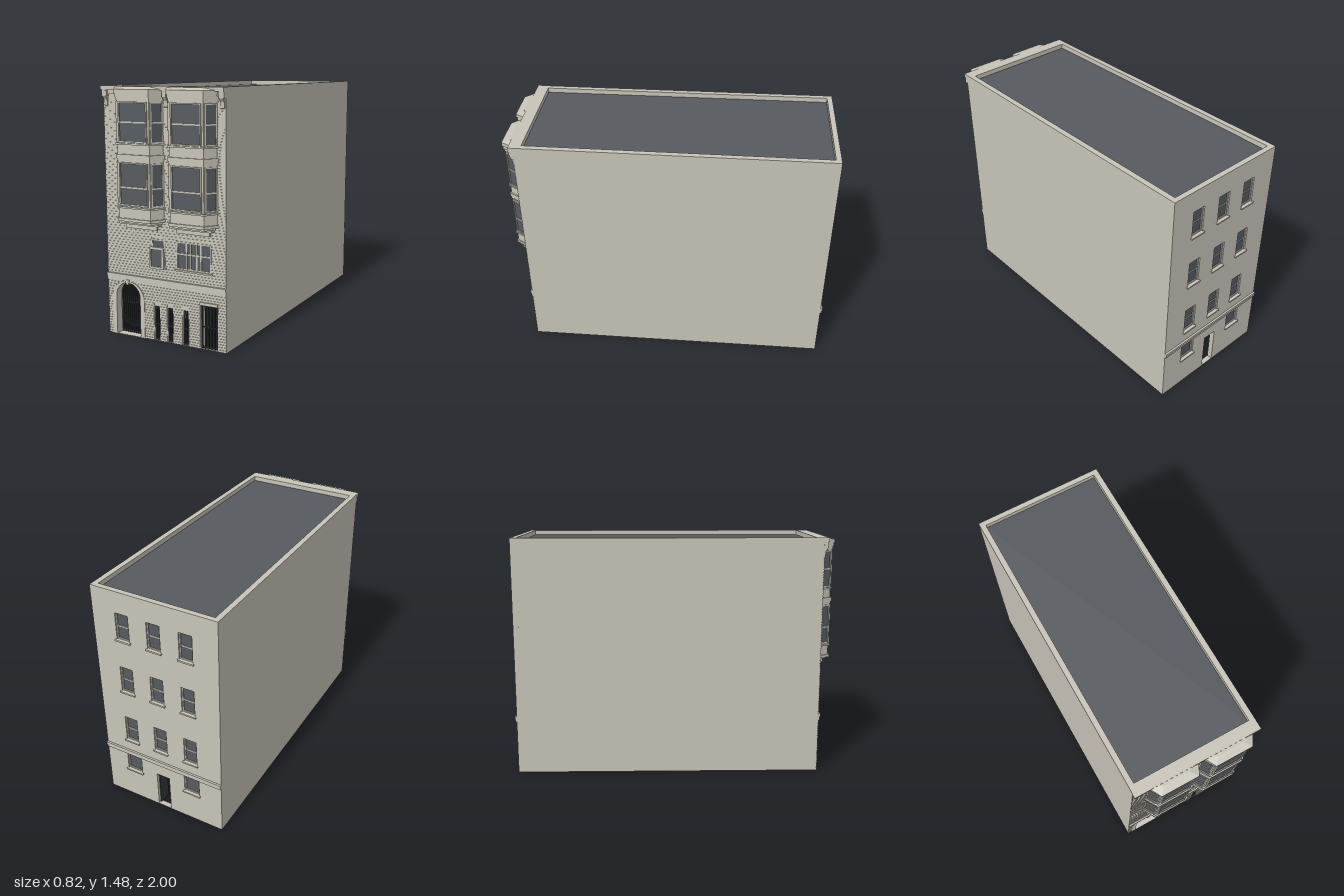
import * as THREE from 'three';
import { mergeGeometries } from 'three/addons/utils/BufferGeometryUtils.js';

const mat = (name, color) => Object.assign(new THREE.MeshStandardMaterial({ color }), { name });
const stone = mat('stone', 0xc8c4b8);
const glass = mat('glass', 0x565b60);
const roofing = mat('roofing', 0x565a5e);
const iron = mat('iron', 0x34383b);

// Box given by its limits
function block(x0, x1, y0, y1, z0, z1) {
  const g = new THREE.BoxGeometry(x1 - x0, y1 - y0, z1 - z0);
  return g.translate((x0 + x1) / 2, (y0 + y1) / 2, (z0 + z1) / 2);
}
function part(parent, name, material, ...geometries) {
  const plain = geometries.map(g => (g.index ? g.toNonIndexed() : g));
  const mesh = new THREE.Mesh(plain.length > 1 ? mergeGeometries(plain) : plain[0], material);
  mesh.name = name;
  parent.add(mesh);
  return mesh;
}
function group(parent, name, x = 0, y = 0, z = 0, turn = 0) {
  const g = new THREE.Group();
  g.name = name;
  g.position.set(x, y, z);
  g.rotation.y = turn;
  parent.add(g);
  return g;
}
const poly = pts => new THREE.Shape(pts.map(p => new THREE.Vector2(...p)));
const rect = (x0, x1, y0, y1) => poly([[x0, y0], [x1, y0], [x1, y1], [x0, y1]]);
const extrude = (shape, depth, z = 0) =>
  new THREE.ExtrudeGeometry(shape, { depth, bevelEnabled: false, curveSegments: 14 }).translate(0, 0, z);
// Upright prism over an [x, z] footprint
const prism = (pts, y0, y1) =>
  extrude(poly(pts.map(([x, z]) => [x, -z])), y1 - y0).rotateX(-Math.PI / 2).translate(0, y0, 0);

function archShape(cx, r, spring, y0) {
  const s = new THREE.Shape();
  s.moveTo(cx - r, y0);
  s.lineTo(cx + r, y0);
  s.lineTo(cx + r, spring);
  s.absarc(cx, spring, r, 0, Math.PI, false);
  s.closePath();
  return s;
}

// Window facing +z with its bottom middle at the origin
function sash(parent, w, h, { rail = 0.5, frame = 0.008, depth = 0.008, mullions = [], sill = 0.012 } = {}) {
  const a = w / 2;
  part(parent, 'windowGlass', glass, block(-a, a, 0, h, -0.004, 0.002));
  const bars = [
    block(-a - frame, -a, -frame, h + frame, -0.004, depth), block(a, a + frame, -frame, h + frame, -0.004, depth),
    block(-a, a, h, h + frame, -0.004, depth), block(-a, a, -frame, 0, -0.004, depth),
    ...mullions.map(x => block(x - 0.004, x + 0.004, 0, h, 0, 0.005)),
  ];
  if (rail) bars.push(block(-a, a, h * rail - 0.004, h * rail + 0.004, 0, 0.006));
  if (sill) bars.push(block(-a - 0.016, a + 0.016, -frame - 0.01, -frame, -0.004, depth + sill));
  part(parent, 'windowFrame', stone, ...bars);
}

// Iron bars between two x limits
function grille(parent, name, x0, x1, y0, y1, z, count, rungs, width = 0.006) {
  const bars = [];
  for (let i = 0; i < count; i++) {
    const x = x0 + width / 2 + (x1 - x0 - width) * i / (count - 1);
    bars.push(block(x - width / 2, x + width / 2, y0, y1, z - 0.005, z + 0.005));
  }
  for (const y of rungs) bars.push(block(x0, x1, y - 0.003, y + 0.003, z - 0.004, z + 0.004));
  part(parent, name, iron, ...bars);
}

const FRONT = 0.91, BACK = -0.988, TOP = 1.48;
const ARCH = -0.254;
const slits = [-0.053, 0.037, 0.141];

function frontWall(root) {
  const g = group(root, 'frontWall');
  const wall = rect(-0.398, 0.405, 0, TOP);
  wall.holes.push(archShape(ARCH, 0.084, 0.24, 0.003), rect(0.24, 0.35, 0.003, 0.26));
  for (const x of slits) wall.holes.push(rect(x - 0.018, x + 0.018, 0.003, 0.21));
  part(g, 'frontWallShell', stone, extrude(wall, 0.045, FRONT - 0.045));

  // Horizontal siding, broken at the openings
  const gaps = y => {
    const list = [];
    const add = (x0, x1, y0, y1) => { if (y + 0.012 > y0 && y < y1) list.push([x0, x1]); };
    const outer = y < 0.22 ? 0.115 : Math.sqrt(Math.max(0, 0.115 ** 2 - (y - 0.22) ** 2));
    add(ARCH - outer, ARCH + outer, 0, 0.335);
    for (const x of slits) add(x - 0.022, x + 0.022, 0, 0.214);
    add(0.236, 0.354, 0, 0.277);
    add(-0.083, 0.008, 0.44, 0.61);
    add(0.084, 0.311, 0.44, 0.613);
    return list.sort((p, q) => p[0] - q[0]);
  };
  const boards = [];
  for (let y = 0.002; y < 1.43; y += 0.0163) {
    let x = -0.398;
    for (const [a, b] of [...gaps(y), [0.405, 0.405]]) {
      if (a - x > 0.002) boards.push(block(x, a, y, y + 0.0125, FRONT, FRONT + 0.004));
      x = Math.max(x, b);
    }
  }
  part(g, 'siding', stone, ...boards);

  // Arched entrance
  const surround = archShape(ARCH, 0.115, 0.22, 0);
  surround.holes.push(archShape(ARCH, 0.084, 0.24, 0.003));
  part(g, 'archSurround', stone, extrude(surround, 0.006, FRONT));
  part(g, 'keystone', stone, extrude(poly([[ARCH - 0.009, 0.315], [ARCH + 0.009, 0.315],
    [ARCH + 0.014, 0.345], [ARCH - 0.014, 0.345]]), 0.014, FRONT));
  grille(g, 'archGate', ARCH - 0.084, ARCH + 0.084, 0, 0.33, 0.858, 12, [0.01], 0.0075);

  // Slit openings and side gate
  for (const x of slits) grille(g, 'slitGrille', x - 0.017, x + 0.017, 0, 0.21, 0.902, 3, [0.01, 0.1, 0.2], 0.007);
  grille(g, 'sideGate', 0.242, 0.348, 0, 0.26, 0.9, 6, [0.01, 0.13, 0.255]);
  part(g, 'sideGateLeaf', iron, block(0.245, 0.251, 0.1, 0.24, 0.81, 0.865));
  part(g, 'sideGateHeader', stone, block(0.236, 0.354, 0.26, 0.278, FRONT - 0.01, FRONT + 0.01));

  // Belt course
  part(g, 'beltCourse', stone, block(-0.4, 0.405, 0.335, 0.358, FRONT, FRONT + 0.009),
    block(-0.4, 0.405, 0.358, 0.375, FRONT, FRONT + 0.014));

  // First floor windows and display case
  sash(group(g, 'smallWindow', -0.037, 0.455, FRONT), 0.075, 0.147, { rail: 0.57, depth: 0.005, sill: 0.006 });
  sash(group(g, 'wideWindow', 0.198, 0.457, FRONT), 0.211, 0.147,
    { rail: 0.57, depth: 0.005, sill: 0.008, mullions: [-0.047, -0.02, 0.02, 0.047] });
  const box = (a, b, r) => {
    const s = new THREE.Shape();
    s.moveTo(-a + r, -b);
    [[a, -b, a, -b + r], [a, b, a - r, b], [-a, b, -a, b - r], [-a, -b, -a + r, -b]].forEach(([cx, cy, x, y]) => {
      s.lineTo(cx - (cx === x ? Math.sign(cx) * r : 0), cy - (cy === y ? Math.sign(cy) * r : 0));
      s.quadraticCurveTo(cx, cy, x, y);
    });
    return s;
  };
  const frame = box(0.049, 0.065, 0.015);
  frame.holes.push(rect(-0.037, 0.037, -0.052, 0.052));
  const display = group(g, 'displayCase', -0.046, 0.5, FRONT);
  part(display, 'displayFrame', stone, extrude(frame, 0.016));
  part(display, 'displayPane', glass, block(-0.038, 0.038, -0.053, 0.053, 0, 0.011));
}

function backWall(root) {
  // Built facing +z, then turned around
  const g = group(root, 'backWall', 0, 0, BACK, Math.PI);
  const wall = rect(-0.405, 0.412, 0, TOP);
  wall.holes.push(rect(-0.045, 0.045, 0.003, 0.25));
  const windows = [];
  for (const x of [-0.207, 0, 0.207]) {
    for (const y of [0.455, 0.82, 1.18]) windows.push([x, y, 0.07, 0.155, 0.5]);
    if (x) windows.push([x, 0.218, 0.088, 0.1, 0]);
  }
  for (const [x, y, w, h] of windows) wall.holes.push(rect(x - w / 2 - 0.008, x + w / 2 + 0.008, y - 0.008, y + h + 0.008));
  part(g, 'backWallShell', stone, extrude(wall, 0.033, -0.033));
  for (const [x, y, w, h, rail] of windows) {
    sash(group(g, 'backWindow', x, y, -0.016), w, h, { rail, sill: 0.02 });
  }
  part(g, 'backBeltCourse', stone, block(-0.405, 0.412, 0.332, 0.35, 0, 0.008), block(-0.405, 0.412, 0.35, 0.366, 0, 0.012));
  part(g, 'backDoorLeaf', iron, block(-0.046, -0.04, 0, 0.25, -0.1, -0.02));
}

function bay(root, x) {
  const g = group(root, 'bayWindow', x);
  const outline = (e, back = 0.9) => [[-0.155 - e, back], [-0.155 - e, FRONT], [-0.108 - e * 0.6, 0.985 + e],
    [0.108 + e * 0.6, 0.985 + e], [0.155 + e, FRONT], [0.155 + e, back]];
  const tier = (name, e, y0, y1) => part(g, name, stone, prism(outline(e), y0, y1));
  part(g, 'bayCorbel', stone, block(-0.108, 0.108, 0.66, 0.69, FRONT - 0.01, FRONT + 0.012),
    block(-0.135, 0.135, 0.688, 0.702, FRONT - 0.01, FRONT + 0.04));
  tier('bayFoot', -0.012, 0.7, 0.715);
  tier('bayBaseMoulding', 0.008, 0.713, 0.73);
  tier('bayBody', 0, 0.715, 1.44);
  for (const [e, y0, y1] of [[0.009, 0.788, 0.798], [0.005, 1.06, 1.075], [0.009, 1.075, 1.098], [0.009, 1.152, 1.162],
    [0.005, 1.4, 1.418], [0.01, 1.418, 1.44], [0.015, 1.44, 1.462]]) tier('bayMoulding', e, y0, y1);

  // Sloping cap: the top ring is drawn back toward the wall
  const cap = prism(outline(0.015), 1.462, 1.476);
  const p = cap.attributes.position;
  for (let i = 0; i < p.count; i++) {
    if (p.getY(i) > 1.47 && p.getZ(i) > 0.92) p.setXYZ(i, p.getX(i) * 0.7, p.getY(i), 0.955);
  }
  cap.computeVertexNormals();
  part(g, 'bayCap', stone, cap);

  // Two storeys of three windows
  for (const [y, h, rail] of [[0.812, 0.232, 0.42], [1.172, 0.214, 0.5]]) {
    sash(group(g, 'bayFrontWindow', 0, y, 0.985), 0.176, h, { rail, sill: 0 });
    for (const s of [-1, 1]) {
      sash(group(g, 'baySideWindow', s * 0.1315, y, 0.9475, s * Math.atan2(0.075, 0.047)), 0.062, h,
        { rail, sill: 0, depth: 0.006 });
    }
  }
}

export function createModel() {
  const root = new THREE.Group();
  root.name = 'townhouse';
  frontWall(root);
  backWall(root);

  // Side walls, the right-hand one slightly skewed in plan
  part(root, 'leftWall', stone, block(0.37, 0.405, 0, TOP, -0.956, 0.866));
  part(root, 'rightWall', stone, prism([[-0.412, -0.956], [-0.398, 0.866], [-0.364, 0.866], [-0.378, -0.956]], 0, TOP));
  part(root, 'flatRoof', roofing, prism([[-0.38, -0.96], [-0.366, 0.87], [0.372, 0.87], [0.372, -0.96]], 1.43, 1.45));

  // Front cornice with brackets
  part(root, 'frontCornice', stone, block(-0.4, 0.405, 1.432, 1.455, FRONT, FRONT + 0.014),
    block(-0.4, 0.405, 1.455, TOP, FRONT, FRONT + 0.03));
  const profile = [[0, 1.36], [0.008, 1.365], [0.012, 1.4], [0.026, 1.42], [0.028, 1.457], [0, 1.457]];
  for (const x of [-0.378, 0.03, 0.388]) {
    const bracket = extrude(poly(profile), 0.024, -0.012).rotateY(-Math.PI / 2).translate(x, 0, FRONT);
    part(root, 'corniceBracket', stone, bracket, block(x - 0.017, x + 0.017, 1.42, 1.455, FRONT, FRONT + 0.024));
  }

  for (const x of [-0.147, 0.199]) bay(root, x);
  return root;
}
